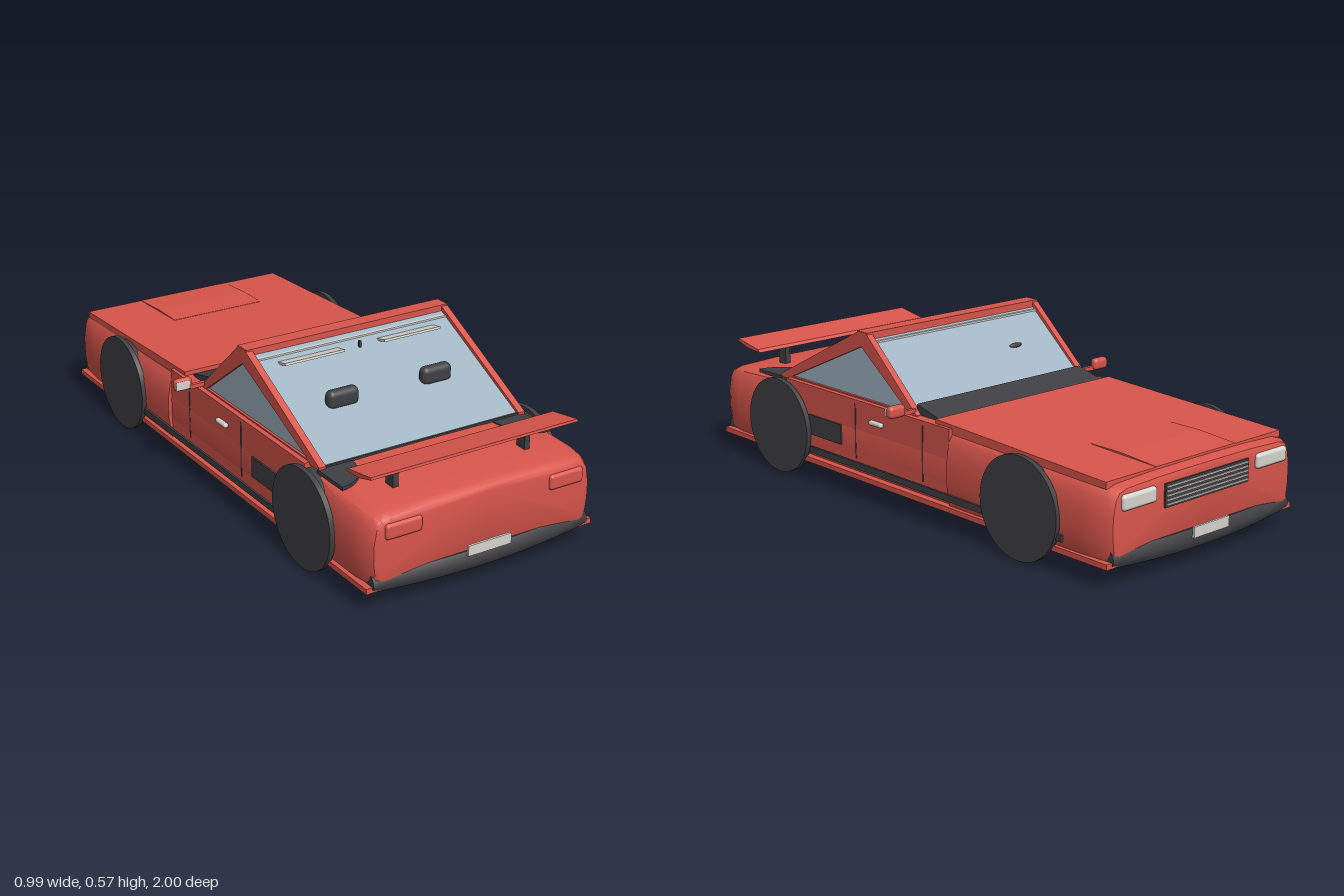
import * as THREE from 'three';
import { toCreasedNormals } from 'three/addons/utils/BufferGeometryUtils.js';
import { RoundedBoxGeometry } from 'three/addons/geometries/RoundedBoxGeometry.js';

const material = (name, color, side = THREE.FrontSide) => {
  const m = new THREE.MeshStandardMaterial({ color, side });
  m.name = name;
  return m;
};

// Extrudes a side outline of [z, y] points from x0 to x1, with optional hole.
function sideExtrude(points, x0, x1, hole) {
  const vec = (list) => list.map(([z, y]) => new THREE.Vector2(z, y));
  const shape = new THREE.Shape(vec(points));
  if (hole) shape.holes.push(new THREE.Path(vec(hole)));
  const geo = new THREE.ExtrudeGeometry(shape, { depth: x1 - x0, bevelEnabled: false });
  return geo.rotateY(-Math.PI / 2).translate(x1, 0, 0);
}

// Half profile as [width factor, height factor], from top centre to bottom centre.
const PROFILE = [[0, 1], [0.5, 0.995], [0.86, 0.97], [0.94, 0.93], [0.975, 0.84],
  [1, 0.6], [1, 0.35], [0.985, 0.12], [0.96, 0], [0, 0]];

// Lofts the body through stations of [z, half width, bottom, top].
function loftBody(stations) {
  const ring = [...PROFILE, ...PROFILE.slice(1, -1).reverse().map(([x, y]) => [-x, y])];
  const n = ring.length, pos = [], index = [];
  for (const [z, w, y0, y1] of stations)
    for (const [x, y] of ring) pos.push(x * w, y0 + y * (y1 - y0), z);
  for (let s = 0; s < stations.length - 1; s++)
    for (let i = 0; i < n; i++) {
      const a = s * n + i, b = s * n + (i + 1) % n;
      index.push(a, a + n, b, b, a + n, b + n);
    }
  const last = (stations.length - 1) * n;
  for (let i = 1; i < n - 1; i++) {
    index.push(0, i, i + 1);
    index.push(last, last + i + 1, last + i);
  }
  const geo = new THREE.BufferGeometry();
  geo.setAttribute('position', new THREE.Float32BufferAttribute(pos, 3));
  geo.setIndex(index);
  return toCreasedNormals(geo, 0.7);
}

// Rounded bar across the car whose ends sweep back towards the middle.
function bumperGeometry(dir) {
  const geo = new THREE.BoxGeometry(0.8, 0.064, 0.05, 16, 4, 2);
  const p = geo.attributes.position;
  for (let i = 0; i < p.count; i++) {
    const x = p.getX(i), y = p.getY(i), z = p.getZ(i);
    const round = 1 - 0.5 * Math.pow(Math.abs(y) / 0.032, 3);
    p.setXYZ(i, x, y + (y < 0 ? 0.08 * x * x : 0), dir * 0.967 + z * round - dir * 0.13 * x * x);
  }
  return toCreasedNormals(geo, 0.8);
}

export function createModel() {
  const car = new THREE.Group();
  car.name = 'convertible';
  const red = material('red paint', 0xd8554b);
  const dark = material('dark rubber', 0x404044);
  const white = material('pale trim', 0xd6d4ce);
  const glass = material('glass', 0xa0b3c2, THREE.DoubleSide);

  const add = (name, geo, mat, x = 0, y = 0, z = 0) => {
    const mesh = new THREE.Mesh(geo, mat);
    mesh.name = name;
    mesh.position.set(x, y, z);
    car.add(mesh);
    return mesh;
  };
  const box = (name, mat, w, h, d, x, y, z) => add(name, new THREE.BoxGeometry(w, h, d), mat, x, y, z);
  const rounded = (name, mat, w, h, d, r, x, y, z) =>
    add(name, new RoundedBoxGeometry(w, h, d, 3, r), mat, x, y, z);

  // Body shell, with the front wings standing slightly proud of the doors
  add('body', loftBody([
    [-0.972, 0.385, 0.09, 0.295], [-0.967, 0.4, 0.08, 0.308], [-0.94, 0.413, 0.072, 0.315],
    [-0.85, 0.42, 0.07, 0.32], [-0.26, 0.42, 0.07, 0.334], [-0.259, 0.408, 0.07, 0.336],
    [0.6, 0.408, 0.07, 0.336], [0.66, 0.418, 0.07, 0.332], [0.88, 0.418, 0.07, 0.323],
    [0.94, 0.41, 0.075, 0.317], [0.966, 0.398, 0.085, 0.308], [0.974, 0.38, 0.1, 0.295],
  ]), red);
  box('doorSides', red, 0.814, 0.225, 0.86, 0, 0.225, 0.17);
  box('lowerSkirt', red, 0.844, 0.018, 1.93, 0, 0.076, 0);

  // Hood with a shallow raised panel, and the cowl behind it
  add('hood', sideExtrude([[-0.18, 0.32], [-0.18, 0.352], [-0.93, 0.322], [-0.93, 0.3]], -0.395, 0.395), red);
  add('hoodBulge', sideExtrude([[-0.66, 0.325], [-0.66, 0.334], [-0.78, 0.334], [-0.93, 0.323], [-0.93, 0.31]], -0.18, 0.18), red);
  add('cowl', sideExtrude([[-0.06, 0.33], [-0.06, 0.372], [-0.1, 0.362], [-0.165, 0.345], [-0.165, 0.33]], -0.37, 0.37), dark);

  // Cabin frame and glass
  const opening = [[0.59, 0.342], [0.2, 0.518], [-0.04, 0.342]];
  const frame = [[0.655, 0.33], [0.655, 0.34], [0.215, 0.568], [0.175, 0.568], [-0.08, 0.34], [-0.08, 0.33]];
  for (const s of [-1, 1]) {
    const x = s * 0.377;
    add('sideFrame', sideExtrude(frame, x - 0.012, x + 0.012, opening), red);
    add('sideGlass', sideExtrude(opening, x - 0.003, x + 0.003), glass);
  }
  add('windshield', sideExtrude([[-0.075, 0.335], [0.18, 0.555], [0.186, 0.55], [-0.067, 0.33]], -0.366, 0.366), glass);
  add('rearWindow', sideExtrude([[0.645, 0.335], [0.637, 0.33], [0.204, 0.55], [0.21, 0.555]], -0.366, 0.366), glass);
  box('roofBar', red, 0.774, 0.028, 0.055, 0, 0.555, 0.196);
  box('roofTrim', white, 0.73, 0.008, 0.012, 0, 0.537, 0.243);
  box('windshieldTrim', white, 0.73, 0.006, 0.01, 0, 0.537, 0.157);
  box('rearGlassSeal', dark, 0.73, 0.008, 0.008, 0, 0.334, 0.645);

  // Cabin fittings: visors, inner mirror, headrests, steering detail
  for (const s of [-1, 1]) {
    box('sunVisor', white, 0.222, 0.008, 0.085, s * 0.187, 0.523, 0.27).rotation.x = -0.22;
    rounded('headrest', dark, 0.114, 0.064, 0.042, 0.02, s * 0.178, 0.447, 0.452);
    // Dark rear corner pads on the deck
    const pad = new THREE.Shape();
    pad.moveTo(0.265, -0.645);
    pad.lineTo(0.39, -0.645);
    pad.lineTo(0.39, -0.785);
    pad.quadraticCurveTo(0.28, -0.77, 0.265, -0.645);
    const padGeo = new THREE.ExtrudeGeometry(pad, { depth: 0.012, bevelEnabled: false }).rotateX(-Math.PI / 2);
    if (s < 0) padGeo.rotateZ(Math.PI).translate(0, 0.012, 0);
    add('rearCornerPad', padGeo, dark, 0, 0.32, 0);
  }
  box('mirrorStem', dark, 0.008, 0.035, 0.008, 0, 0.522, 0.281);
  box('innerMirror', dark, 0.106, 0.03, 0.014, 0, 0.495, 0.288);
  box('innerMirrorFace', white, 0.096, 0.022, 0.004, 0, 0.495, 0.296);
  const knob = add('windshieldSensor', new THREE.SphereGeometry(0.028, 16, 10), dark, -0.18, 0.455, 0.06);
  knob.scale.set(1, 0.3, 0.3);

  // Wheels: thin outer disc and narrower inner drum
  for (const s of [-1, 1])
    for (const z of [0.62, -0.6]) {
      const disc = new THREE.CylinderGeometry(0.168, 0.168, 0.018, 48).rotateZ(Math.PI / 2);
      add('wheelDisc', disc, dark, s * 0.425, 0.168, z);
      const drum = new THREE.CylinderGeometry(0.154, 0.154, 0.11, 40).rotateZ(Math.PI / 2);
      add('wheelDrum', drum, dark, s * 0.361, 0.168, z);
    }

  // Side details
  for (const s of [-1, 1]) {
    box('sillStrip', dark, 0.008, 0.022, 1.23, s * 0.421, 0.116, -0.165);
    box('sideVent', dark, 0.008, 0.07, 0.18, s * 0.409, 0.2, 0.38);
    for (const z of [0.215, -0.13]) box('doorSeam', dark, 0.005, 0.19, 0.006, s * 0.406, 0.228, z);
    rounded('doorHandle', white, 0.018, 0.016, 0.065, 0.007, s * 0.412, 0.278, 0.1);
    rounded('sideMirror', red, 0.066, 0.042, 0.03, 0.014, s * 0.464, 0.366, -0.067);
    rounded('sideMirrorGlass', white, 0.052, 0.03, 0.006, 0.003, s * 0.47, 0.366, -0.052);
    box('sideMirrorArm', red, 0.06, 0.014, 0.014, s * 0.412, 0.353, -0.062);
  }

  // Tail: lamps, spoiler
  for (const s of [-1, 1]) {
    rounded('tailLamp', red, 0.13, 0.052, 0.026, 0.012, s * 0.301, 0.26, 0.971);
    box('spoilerPost', dark, 0.02, 0.085, 0.04, s * 0.245, 0.354, 0.83);
  }
  add('spoiler', sideExtrude([[0.79, 0.388], [0.8, 0.398], [0.92, 0.418], [0.922, 0.41], [0.86, 0.392]], -0.382, 0.382), red);

  // Nose: headlamps and slatted grille
  for (const s of [-1, 1])
    rounded('headlamp', white, 0.145, 0.05, 0.026, 0.012, s * 0.3, 0.262, -0.971);
  box('grille', dark, 0.38, 0.075, 0.008, 0, 0.245, -0.974);
  for (let i = 0; i < 5; i++) box('grilleSlat', white, 0.37, 0.005, 0.006, 0, 0.217 + i * 0.014, -0.979);

  // Bumpers and blank plates
  for (const [end, dir] of [['rear', 1], ['front', -1]]) {
    add(end + 'Bumper', bumperGeometry(dir), dark, 0, 0.084, 0);
    box(end + 'Plate', white, 0.16, 0.035, 0.008, 0, end === 'rear' ? 0.127 : 0.11, dir * 0.995);
  }
  return car;
}
